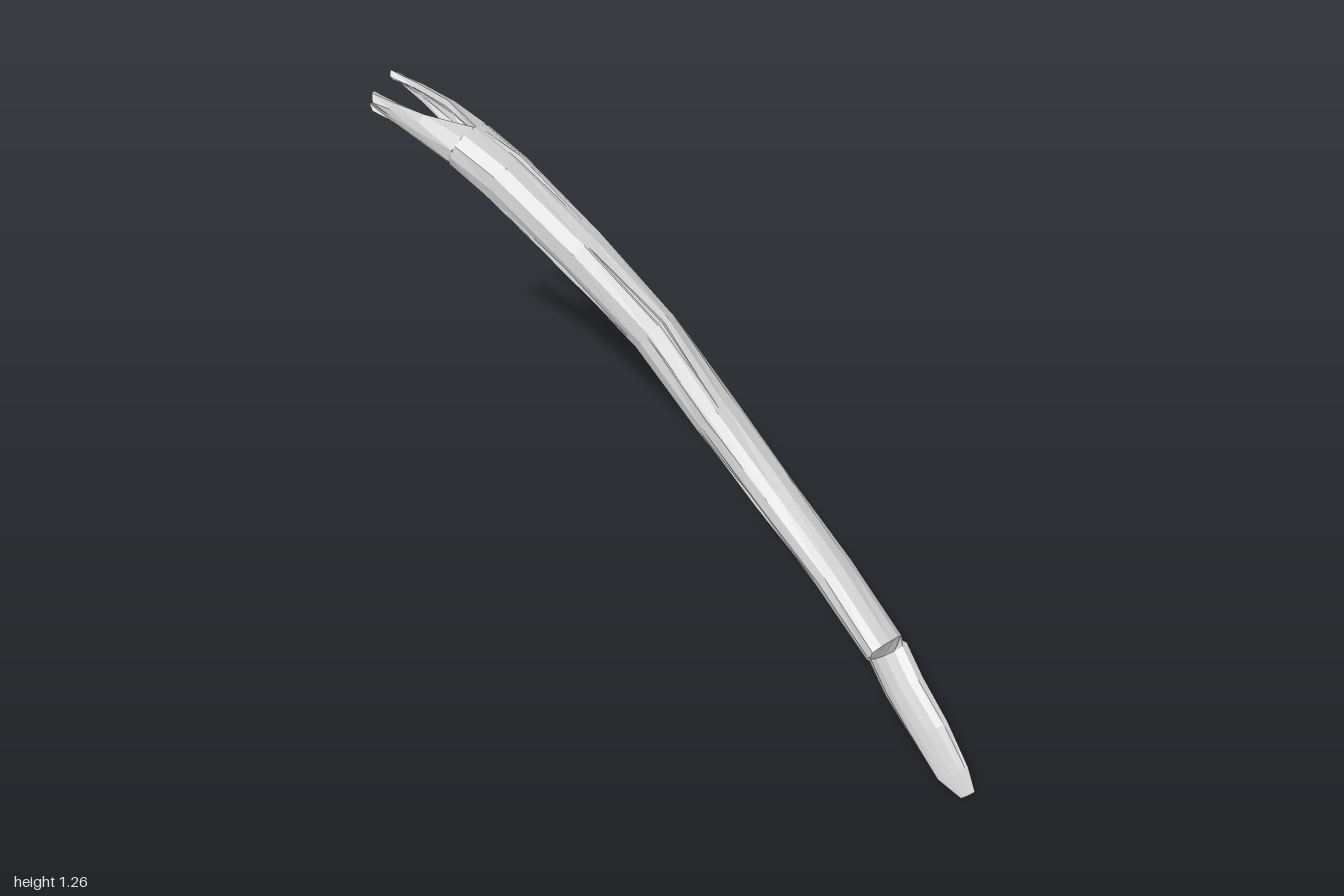
import * as THREE from 'three';

const SIDES = 12;
// Stations along the shaft: centre x, y, z, half width, half thickness, scooped
const STATIONS = [
  [0.455, 0.012, 0.985, 0.022, 0.006, 1],
  [0.447, 0.028, 0.92, 0.046, 0.016, 1],
  [0.44, 0.075, 0.8, 0.056, 0.038, 1],
  [0.42, 0.14, 0.69, 0.058, 0.055, 1],
  [0.41, 0.195, 0.61, 0.058, 0.058, 1],
  [0.406, 0.188, 0.59, 0.059, 0.045, 0],
  [0.345, 0.315, 0.4, 0.061, 0.046, 0],
  [0.262, 0.452, 0.2, 0.064, 0.054, 0],
  [0.175, 0.595, 0, 0.067, 0.062, 0],
  [0.078, 0.767, -0.2, 0.068, 0.07, 0],
  [-0.06, 0.932, -0.4, 0.073, 0.075, 0],
  [-0.2, 1.09, -0.6, 0.08, 0.07, 0],
  [-0.27, 1.15, -0.7, 0.084, 0.066, 0],
  [-0.33, 1.185, -0.8, 0.085, 0.06, 0],
  [-0.38, 1.2, -0.9, 0.078, 0.058, 0],
  [-0.43, 1.215, -0.965, 0.068, 0.06, 0],
];
const CROTCH = 12;

// Local frame at each station
const FRAMES = STATIONS.map(([x, y, z, rx, ry, scoop], i) => {
  const a = STATIONS[Math.max(i - 1, 0)];
  const b = STATIONS[Math.min(i + 1, STATIONS.length - 1)];
  const t = new THREE.Vector3(b[0] - a[0], b[1] - a[1], b[2] - a[2]).normalize();
  const s = t.clone().cross(new THREE.Vector3(0, 1, 0)).normalize();
  return { c: new THREE.Vector3(x, y, z), s, u: s.clone().cross(t), rx, ry, scoop };
});

function at(f, angle, k = 1) {
  let v = Math.sin(angle);
  if (f.scoop && v > 0) v *= -0.6; // fold the upper half down into a gutter
  return f.c.clone()
    .addScaledVector(f.s, Math.cos(angle) * f.rx * k)
    .addScaledVector(f.u, v * f.ry * k);
}

// Joins closed rings of points into a skin with end caps
function loft(rings, startCentre, endCentre) {
  const n = rings[0].length;
  const pos = rings.flat().concat([startCentre, endCentre]).flatMap((p) => p.toArray());
  const index = [];
  const start = rings.length * n;
  const last = (rings.length - 1) * n;
  for (let j = 0; j < n; j++) {
    const k = (j + 1) % n;
    for (let i = 0; i < rings.length - 1; i++) {
      const a = i * n, b = a + n;
      index.push(a + j, b + j, a + k, a + k, b + j, b + k);
    }
    index.push(start, j, k, start + 1, last + k, last + j);
  }
  const g = new THREE.BufferGeometry();
  g.setAttribute('position', new THREE.Float32BufferAttribute(pos, 3));
  g.setIndex(index);
  const flat = g.toNonIndexed();
  flat.computeVertexNormals();
  return flat;
}

const centroid = (ring) =>
  ring.reduce((sum, p) => sum.add(p), new THREE.Vector3()).divideScalar(ring.length);

export function createModel() {
  const group = new THREE.Group();
  const grey = new THREE.MeshStandardMaterial({ color: 0xcacaca, flatShading: true, side: THREE.DoubleSide });
  grey.name = 'pale grey';
  const add = (name, geometry) => {
    const mesh = new THREE.Mesh(geometry, grey);
    mesh.name = name;
    group.add(mesh);
  };

  // Shaft with scooped tip; its far end is sunk inwards to look hollow
  const rings = FRAMES.slice(0, CROTCH + 1).map((f, i) =>
    Array.from({ length: SIDES }, (_, j) => {
      const wobble = f.scoop || i === CROTCH ? 1 : 1 + 0.035 * Math.sin(i * 2.3 + j * 1.9);
      return at(f, (j / SIDES) * Math.PI * 2, wobble);
    }));
  add('shaft', loft(rings, centroid(rings[0]), FRAMES[CROTCH - 1].c));

  // Two broken half-shell prongs: centre angle and half angle, in degrees, per station
  const prongs = {
    rightProng: [[180, 88], [186, 56], [195, 48], [198, 42]],
    leftProng: [[0, 88], [8, 58], [22, 45], [48, 22]],
  };
  for (const [name, arcs] of Object.entries(prongs)) {
    const shell = arcs.map(([mid, half], i) => {
      const f = FRAMES[CROTCH + i];
      const outer = [], inner = [];
      for (let j = 0; j <= 5; j++) {
        const a = THREE.MathUtils.degToRad(mid + half * (j / 2.5 - 1));
        outer.push(at(f, a));
        inner.unshift(at(f, a, 0.74));
      }
      return [...outer, ...inner];
    });
    // Ragged tip
    shell[3].forEach((p, j) => { p.z += [0, 0.03, -0.012, 0.02, 0, -0.015][j % 6] * 0.8; });
    add(name, loft(shell, centroid(shell[0]), centroid(shell[3])));
  }

  // Thin raised splinters lying along the shaft: first station, last station, angle
  const splinters = [[8, 10, 110], [7, 9, 150], [9, 11, 200], [6, 8, 195], [10, 12, 75]];
  for (const [from, to, deg] of splinters) {
    const a = THREE.MathUtils.degToRad(deg);
    const mid = FRAMES[(from + to) / 2];
    const ring = [at(mid, a - 0.14, 0.97), at(mid, a, 1.07), at(mid, a + 0.14, 0.97)];
    add('splinter', loft([ring], at(FRAMES[from], a, 0.98), at(FRAMES[to], a + 0.1, 0.98)));
  }
  return group;
}
